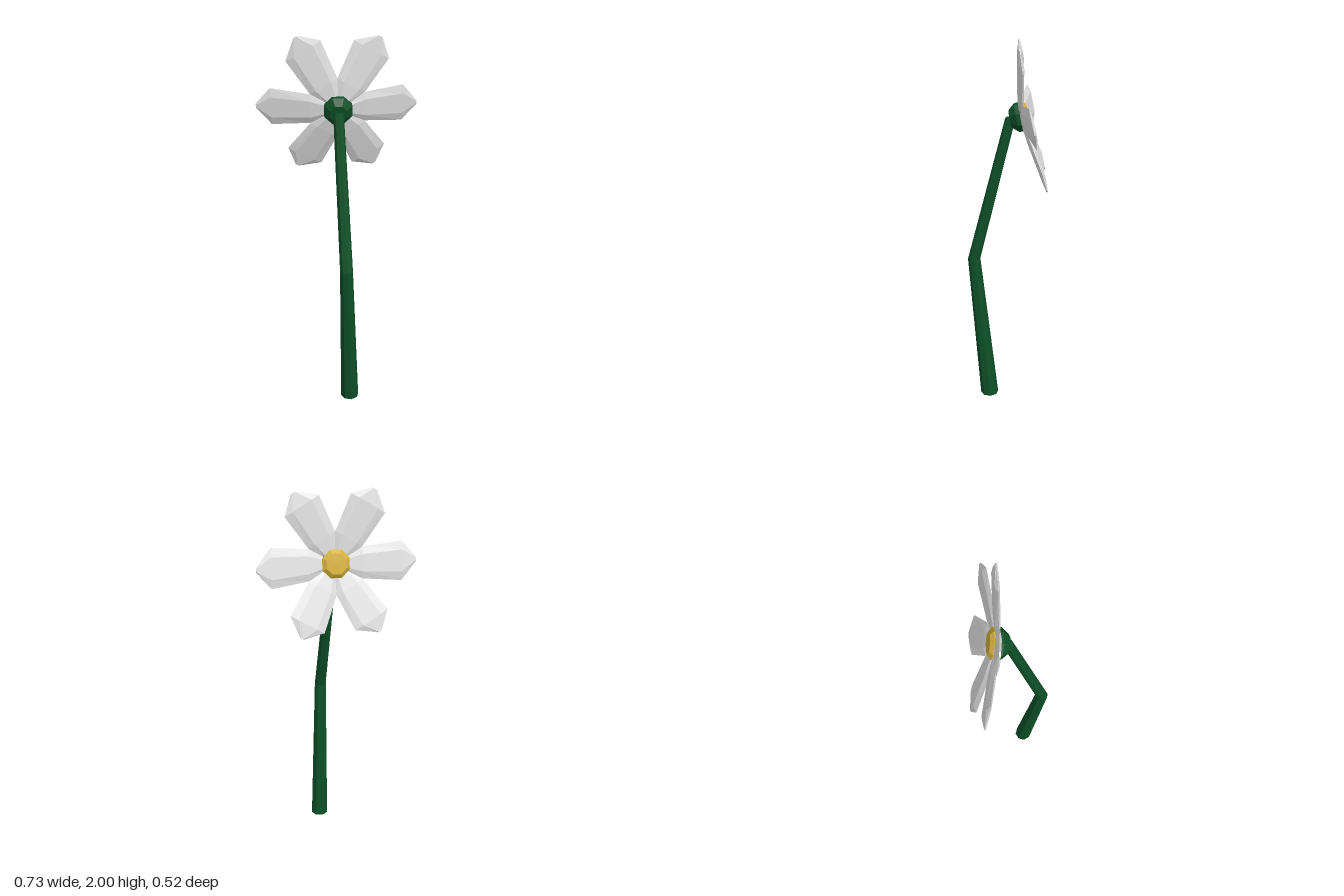
import * as THREE from 'three';

const stemGreen = new THREE.MeshStandardMaterial({ color: 0x0d4f27 });
const petalWhite = new THREE.MeshStandardMaterial({ color: 0xe4e4e4 });
const centreYellow = new THREE.MeshStandardMaterial({ color: 0xd6b23a });
for (const m of [stemGreen, petalWhite, centreYellow]) m.flatShading = true;

// Skins a list of rings (equal point counts, counter-clockwise about the path) and caps both ends
function loft(rings) {
  const n = rings[0].length;
  const index = [];
  for (let i = 0; i < rings.length - 1; i++) {
    for (let j = 0; j < n; j++) {
      const a = i * n + j, b = i * n + (j + 1) % n;
      index.push(a, b, b + n, a, b + n, a + n);
    }
  }
  const last = (rings.length - 1) * n;
  for (let j = 1; j < n - 1; j++) {
    index.push(0, j + 1, j, last, last + j, last + j + 1);
  }
  const geo = new THREE.BufferGeometry();
  geo.setAttribute('position', new THREE.Float32BufferAttribute(rings.flat(2), 3));
  geo.setIndex(index);
  geo.computeVertexNormals();
  return geo;
}

function part(name, geometry, material) {
  const mesh = new THREE.Mesh(geometry, material);
  mesh.name = name;
  return mesh;
}

// Bent, tapering stem: x, y, z, radius
function stemGeometry() {
  const path = [
    [-0.08, 0, 0.18, 0.05],
    [-0.138, 0.85, 0.23, 0.034],
    [-0.058, 1.63, 0.04, 0.027],
  ];
  const sides = 8;
  return loft(path.map(([x, y, z, r]) => Array.from({ length: sides }, (_, j) => {
    const a = ((j + 0.5) / sides) * Math.PI * 2;
    return [x + r * Math.sin(a), y, z + r * Math.cos(a)];
  })));
}

// Petal along +x with bevelled edges: distance, half width, half thickness, lift, sideways shift
function petalGeometry() {
  const rows = [
    [0.03, 0.025, 0.008, -0.012, 0],
    [0.14, 0.08, 0.013, 0.008, 0],
    [0.335, 0.1, 0.012, 0.043, 0.005],
    [0.41, 0.012, 0.004, 0.05, 0.01],
  ];
  return loft(rows.map(([x, w, t, lift, shift]) => [
    [1, 0], [0.55, 1], [-0.55, 1], [-1, 0], [-0.55, -1], [0.55, -1],
  ].map(([y, z]) => [x, shift + y * w, lift + z * t])));
}

// Eight-sided turned shape about +z from radius, height pairs
function turned(profile) {
  const geo = new THREE.LatheGeometry(profile.map(([r, h]) => new THREE.Vector2(r, h)), 8);
  geo.rotateX(Math.PI / 2);
  geo.rotateZ(Math.PI / 8);
  return geo;
}

export function createModel() {
  const model = new THREE.Group();
  model.name = 'flower';
  model.add(part('stem', stemGeometry(), stemGreen));

  // Flower head, facing backwards and slightly up
  const head = new THREE.Group();
  head.name = 'flowerHead';
  const facing = new THREE.Vector3(0.466, 0.193, -0.861).normalize();
  const up = new THREE.Vector3(-0.11, 0.98, 0.16);
  const side = new THREE.Vector3().crossVectors(up, facing).normalize();
  up.crossVectors(facing, side);
  head.quaternion.setFromRotationMatrix(new THREE.Matrix4().makeBasis(side, up, facing));
  head.position.set(-0.025, 1.637, -0.017);
  model.add(head);

  head.add(part('calyx', turned([[0, -0.07], [0.045, -0.07], [0.076, -0.035], [0.076, 0], [0, 0]]), stemGreen));
  head.add(part('flowerCentre', turned([[0, -0.005], [0.072, -0.005], [0.077, 0.01], [0.056, 0.026], [0, 0.028]]), centreYellow));

  // Ring of six petals
  const petal = petalGeometry();
  for (let i = 0; i < 6; i++) {
    const mesh = part('petal' + (i + 1), petal, petalWhite);
    mesh.rotation.z = (i * Math.PI) / 3;
    head.add(mesh);
  }
  return model;
}
